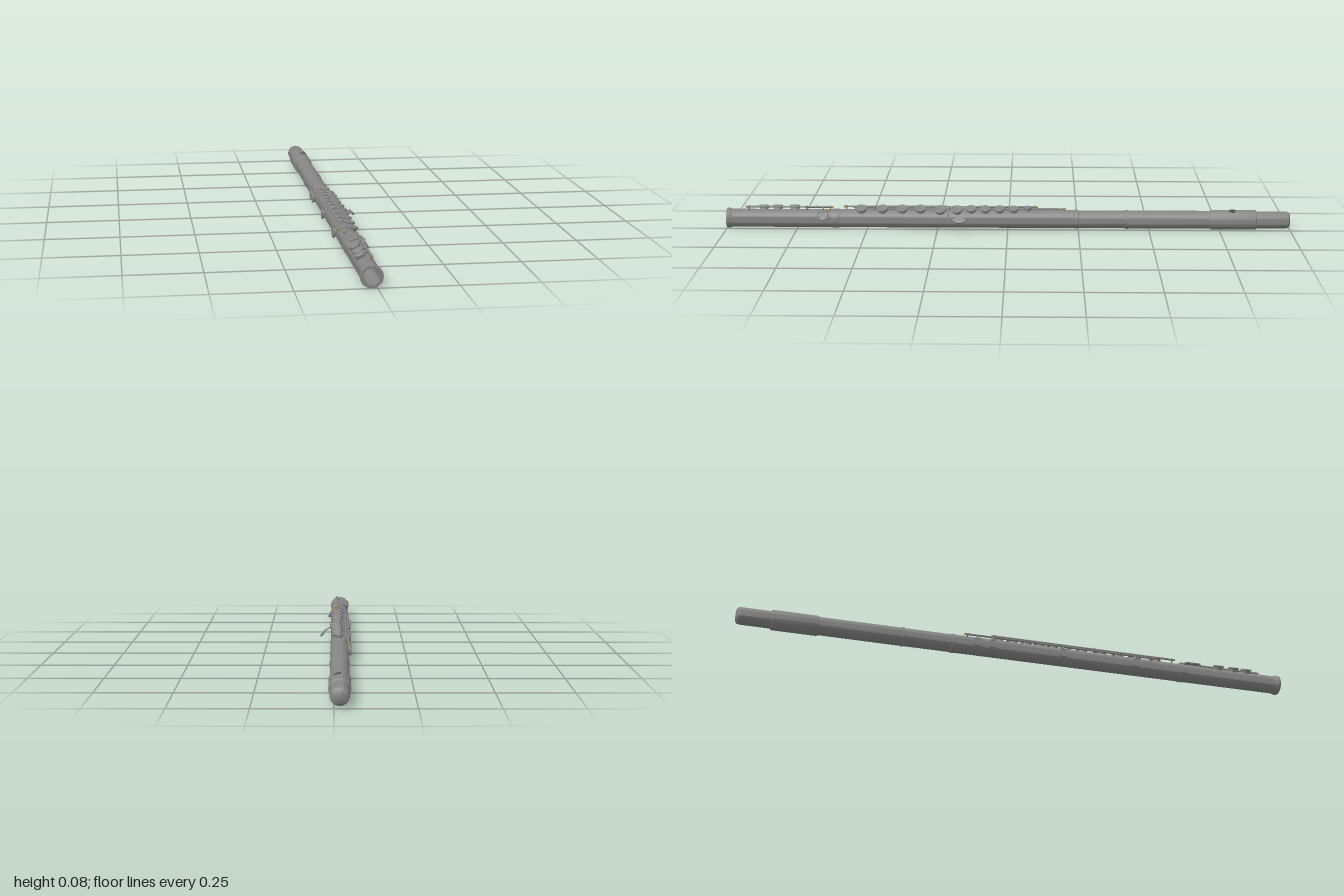
import * as THREE from 'three';
import { toCreasedNormals } from 'three/addons/utils/BufferGeometryUtils.js';

const metal = new THREE.MeshStandardMaterial({ color: 0x868686 });
metal.name = 'grey metal';
const gold = new THREE.MeshStandardMaterial({ color: 0xb58a35 });
gold.name = 'gold';
const dark = new THREE.MeshStandardMaterial({ color: 0x505050 });
dark.name = 'dark hole';

const rad = THREE.MathUtils.degToRad;

function add(parent, name, geometry, material = metal) {
  const mesh = new THREE.Mesh(geometry, material);
  mesh.name = name;
  parent.add(mesh);
  return mesh;
}

// Lathe from [radius, height] pairs, keeping edges sharp
function turned(points, segments = 40) {
  const g = new THREE.LatheGeometry(points.map(([r, y]) => new THREE.Vector2(r, y)), segments);
  return toCreasedNormals(g, rad(35));
}

// Point around the tube: angle 0 is the top, positive goes to +x
function around(angle, r, z) {
  return new THREE.Vector3(r * Math.sin(rad(angle)), r * Math.cos(rad(angle)), z);
}

// Group whose +y points straight out of the tube
function mount(parent, name, angle, z, r = 0) {
  const g = new THREE.Group();
  g.name = name;
  g.position.copy(around(angle, r, z));
  g.rotation.z = -rad(angle);
  parent.add(g);
  return g;
}

function bar(parent, name, a, b, r, material = metal) {
  const m = add(parent, name, new THREE.CylinderGeometry(r, r, a.distanceTo(b), 10), material);
  m.position.copy(a).add(b).multiplyScalar(0.5);
  m.quaternion.setFromUnitVectors(new THREE.Vector3(0, 1, 0), b.clone().sub(a).normalize());
  return m;
}

// Padded cup on a raised tone hole
function cup(parent, name, angle, z, r, height = 0.038) {
  const g = mount(parent, name, angle, z);
  add(g, 'toneHole', new THREE.CylinderGeometry(r * 0.78, r * 0.78, height - 0.025, 24))
    .position.y = (height + 0.025) / 2;
  add(g, 'cup', turned([
    [0, 0], [r * 0.92, 0], [r, 0.002], [r, 0.005], [r * 0.88, 0.0075], [r * 0.8, 0.0065], [0, 0.0075],
  ], 28)).position.y = height;
  return g;
}

// Long rod on posts with gold pivot screws at its ends
function rod(parent, name, angle, r, z0, z1, posts) {
  const g = new THREE.Group();
  g.name = name;
  parent.add(g);
  bar(g, 'rod', around(angle, r, z0), around(angle, r, z1), 0.0035);
  for (const z of posts) {
    bar(g, 'post', around(angle, 0.029, z), around(angle, r, z), 0.0025);
    add(g, 'postBall', new THREE.SphereGeometry(0.005, 12, 8)).position.copy(around(angle, r, z));
  }
  for (const [z, s] of [[z0, -1], [z1, 1]]) {
    bar(g, 'pivotScrew', around(angle, r, z), around(angle, r, z + s * 0.006), 0.004, gold);
  }
}

export function createModel() {
  const model = new THREE.Group();
  model.name = 'flute';
  const flute = new THREE.Group();
  flute.name = 'instrument';
  flute.position.set(-0.017, 0.037, 0);
  model.add(flute);

  // Tube sections along z
  const sections = {
    crown: [[0, -1], [0.022, -0.998], [0.028, -0.993], [0.03, -0.985], [0.03, -0.87]],
    lipBarrel: [[0.03, -0.88], [0.034, -0.878], [0.035, -0.87], [0.035, -0.725], [0.034, -0.718], [0.03, -0.716]],
    headTube: [[0.0315, -0.72], [0.032, -0.42]],
    headRing: [[0.03, -0.426], [0.034, -0.425], [0.034, -0.417], [0.03, -0.416]],
    tenon: [[0.0315, -0.42], [0.0315, -0.24]],
    bodyRing: [[0.03, -0.25], [0.0335, -0.249], [0.0335, -0.237], [0.03, -0.236]],
    bodyTube: [[0.032, -0.24], [0.032, 0.61]],
    footRing: [[0.03, 0.60], [0.0335, 0.601], [0.0335, 0.624], [0.03, 0.625]],
    footTube: [[0.032, 0.62], [0.032, 0.975], [0.033, 0.984], [0.0355, 0.988], [0.0355, 0.997], [0.034, 1], [0.026, 1]],
    bore: [[0.026, 1], [0.026, -0.72], [0.023, -0.85], [0, -0.85]],
  };
  for (const [name, points] of Object.entries(sections)) {
    add(flute, name, turned(points)).rotation.x = Math.PI / 2;
  }

  // Mouth hole
  const mouth = mount(flute, 'mouthHole', 12, -0.795);
  const hole = add(mouth, 'mouthOpening', new THREE.CylinderGeometry(0.011, 0.011, 0.003, 28), dark);
  hole.position.y = 0.0343;
  hole.scale.z = 1.15;

  // Main row of keys, each with an arm to the long rod
  const keys = [[0.52, 0.022], [0.445, 0.022], [0.375, 0.022], [0.31, 0.022], [0.24, 0.022],
    [0.18, 0.021], [0.13, 0.02], [0.08, 0.02], [0.03, 0.02], [-0.02, 0.018], [-0.07, 0.014]];
  keys.forEach(([z, r], i) => {
    const angle = i === 4 || i === 5 ? 22 : i === 10 ? 4 : 15;
    cup(flute, 'mainKey', angle, z, r);
    bar(flute, 'keyArm', around(-31, 0.044, z), around(angle - 14, 0.045, z), 0.0028);
  });
  rod(flute, 'mainRod', -31, 0.044, -0.1, 0.58, [-0.095, 0.1, 0.275, 0.41, 0.575]);
  rod(flute, 'sideRod', -48, 0.042, -0.2, 0.5, [-0.195, -0.05, 0.21, 0.35, 0.495]);

  // Keys standing on the -x side
  for (const [z, r] of [[-0.16, 0.017], [-0.105, 0.017], [0.155, 0.017], [0.43, 0.018]]) {
    cup(flute, 'sideKey', -88, z, r, 0.0335);
    bar(flute, 'sideKeyArm', around(-48, 0.042, z), around(-75, 0.041, z), 0.0028);
  }

  // Side lever reaching out on the +x side
  const lever = new THREE.Group();
  lever.name = 'sideLever';
  flute.add(lever);
  bar(lever, 'leverArm', around(12, 0.041, 0.21), new THREE.Vector3(0.056, 0.014, 0.21), 0.0025);
  bar(lever, 'leverShank', new THREE.Vector3(0.056, 0.014, 0.212), new THREE.Vector3(0.06, 0.011, 0.17), 0.0025);
  const touch = add(lever, 'leverTouch', new THREE.CylinderGeometry(0.012, 0.012, 0.005, 24));
  touch.scale.z = 1.9;
  touch.position.set(0.061, 0.009, 0.172);
  touch.rotation.z = -rad(45);

  // Foot keys and their rod
  for (const z of [0.76, 0.82, 0.87]) {
    cup(flute, 'footKey', -25, z, 0.02);
    bar(flute, 'footKeyArm', around(14, 0.045, z), around(-12, 0.045, z), 0.0028);
  }
  rod(flute, 'footRod', 14, 0.045, 0.625, 0.925, [0.63, 0.715, 0.92]);

  // Little finger cluster at the foot joint
  cup(flute, 'fingerKey', 62, 0.655, 0.02, 0.034);
  bar(flute, 'fingerKeyArm', around(14, 0.045, 0.655), around(48, 0.043, 0.655), 0.003);
  for (const [angle, z] of [[-6, 0.645], [-24, 0.645], [-8, 0.675], [-24, 0.675]]) {
    const plate = mount(flute, 'fingerPlate', angle, z, 0.041);
    add(plate, 'plate', new THREE.BoxGeometry(0.014, 0.004, 0.022));
  }
  for (const z of [0.635, 0.66, 0.685]) {
    bar(flute, 'roller', around(-32, 0.041, z), around(14, 0.045, z), 0.0028);
  }
  bar(flute, 'springScrew', around(32, 0.04, 0.632), around(32, 0.04, 0.645), 0.004, gold);

  return model;
}
